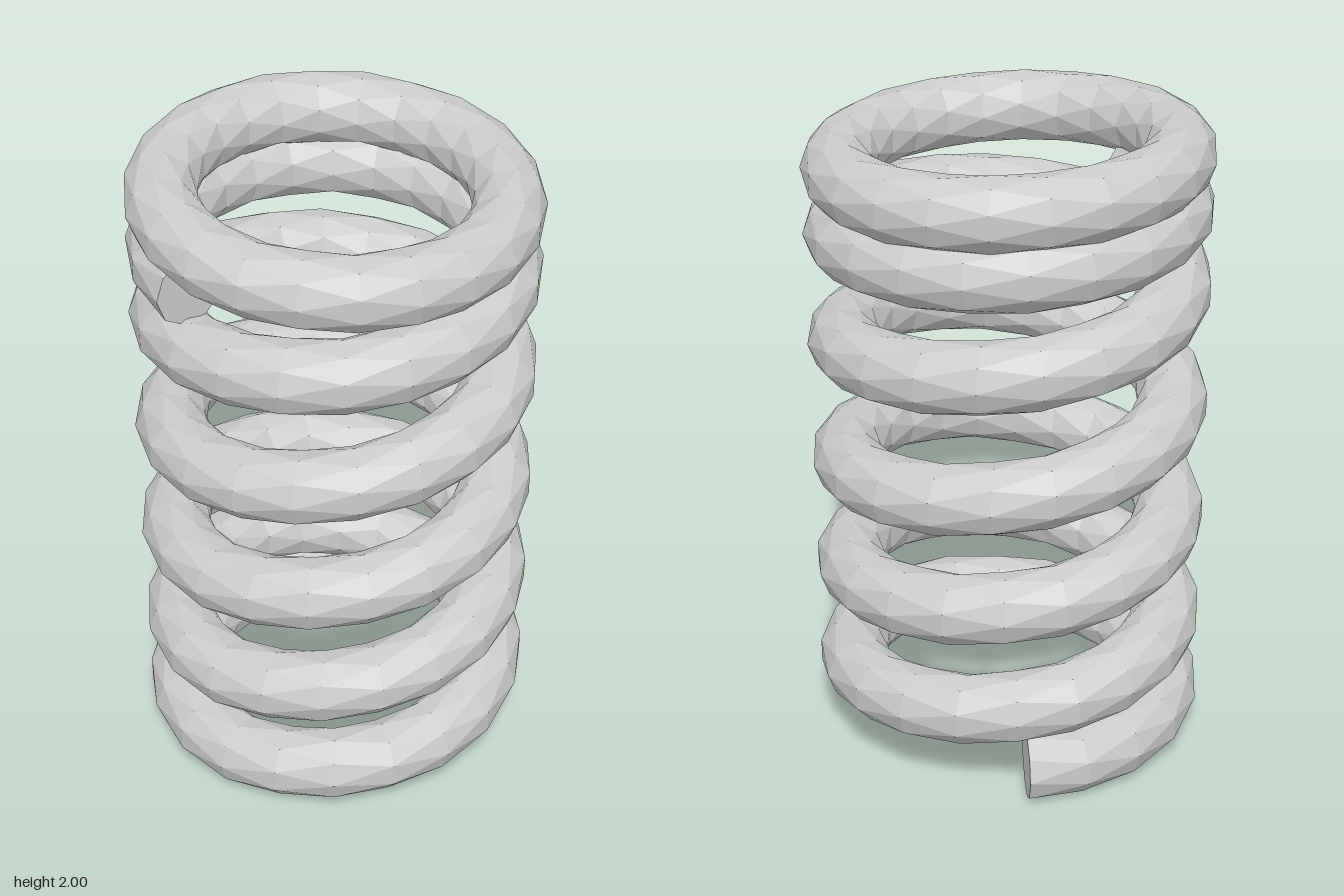
import * as THREE from 'three';

const COIL_R = 0.494, WIRE_R = 0.107, SIDES = 9;
const START = -136, END = 1788; // degrees; 0 is the front, rising towards +x

// Height of the wire centre at every quarter turn, beginning at -180 degrees
const HEIGHTS = [0.105, 0.105, 0.112, 0.185, 0.275, 0.36, 0.415, 0.52, 0.62, 0.705, 0.775, 0.88,
  0.98, 1.08, 1.16, 1.27, 1.37, 1.45, 1.55, 1.62, 1.695, 1.73, 1.73];

function springHeight(deg) {
  const t = (deg + 180) / 90;
  const i = Math.min(Math.floor(t), HEIGHTS.length - 2);
  return THREE.MathUtils.lerp(HEIGHTS[i], HEIGHTS[i + 1], t - i);
}

// Faceted round wire swept about the y axis; alternate sections are staggered by half a facet
function wireGeometry(from, to, segments, heightAt, capped) {
  const pos = [], index = [];
  const id = (i, j) => i * SIDES + (j % SIDES);
  const addPoint = (deg, out, up) => {
    const a = THREE.MathUtils.degToRad(deg);
    pos.push((COIL_R + out) * Math.sin(a), heightAt(deg) + up, (COIL_R + out) * Math.cos(a));
  };
  for (let i = 0; i <= segments; i++) {
    const deg = from + (to - from) * i / segments;
    for (let j = 0; j < SIDES; j++) {
      const a = (j + (i % 2) * 0.5) / SIDES * Math.PI * 2;
      addPoint(deg, WIRE_R * Math.cos(a), WIRE_R * Math.sin(a));
    }
  }
  for (let i = 0; i < segments; i++) {
    for (let j = 0; j < SIDES; j++) {
      const a = id(i, j), b = id(i + 1, j), c = id(i + 1, j + 1), d = id(i, j + 1);
      if (i % 2 === 0) index.push(a, b, d, b, c, d);
      else index.push(a, c, d, a, b, c);
    }
  }
  if (capped) {
    const centre = pos.length / 3;
    addPoint(from, 0, 0);
    addPoint(to, 0, 0);
    for (let j = 0; j < SIDES; j++) {
      index.push(centre, id(0, j), id(0, j + 1));
      index.push(centre + 1, id(segments, j + 1), id(segments, j));
    }
  }
  const geometry = new THREE.BufferGeometry();
  geometry.setAttribute('position', new THREE.Float32BufferAttribute(pos, 3));
  geometry.setIndex(index);
  geometry.computeVertexNormals();
  return geometry;
}

export function createModel() {
  const group = new THREE.Group();
  group.name = 'coilSpring';
  const material = new THREE.MeshStandardMaterial({ color: 0xcccccc, flatShading: true });

  // Rising coil with closed-up turns at both ends
  const coil = new THREE.Mesh(wireGeometry(START, END, 108, springHeight, true), material);
  coil.name = 'coil';

  // Closed ring on top, slightly higher on the -x side
  const ringHeight = (deg) => 1.87 - 0.027 * Math.sin(THREE.MathUtils.degToRad(deg));
  const ring = new THREE.Mesh(wireGeometry(0, 360, 22, ringHeight, false), material);
  ring.name = 'topRing';

  group.add(coil, ring);
  return group;
}
